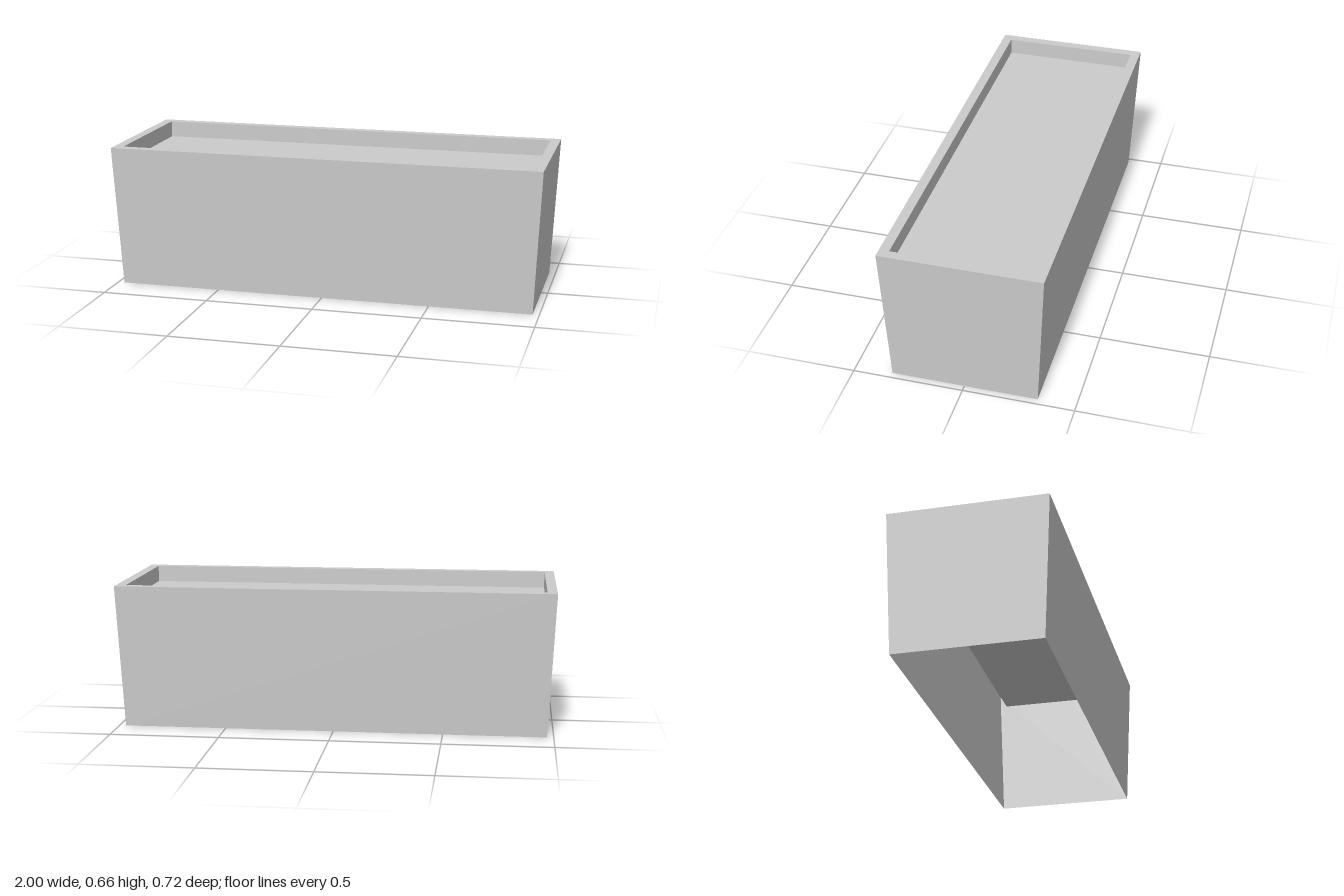
import * as THREE from 'three';

const material = new THREE.MeshStandardMaterial({
  color: 0xcccccc, flatShading: true, side: THREE.DoubleSide,
});

// Rectangular cross-sections, given as half width, height and half depth
const foot = [0.97, 0, 0.33];
const outerTop = [1, 0.658, 0.36];
const innerTop = [0.955, 0.658, 0.315];
const soilLevel = [0.955, 0.582, 0.315];

// Four-sided band joining two rectangular cross-sections
function band(name, from, to) {
  const corners = [[1, 1], [1, -1], [-1, -1], [-1, 1]];
  const at = ([x, y, z], i) => {
    const [sx, sz] = corners[i % 4];
    return [sx * x, y, sz * z];
  };
  const points = [];
  for (let i = 0; i < 4; i++) {
    const a = at(from, i), b = at(from, i + 1), c = at(to, i + 1), d = at(to, i);
    points.push(...a, ...b, ...c, ...a, ...c, ...d);
  }
  const geometry = new THREE.BufferGeometry();
  geometry.setAttribute('position', new THREE.Float32BufferAttribute(points, 3));
  geometry.computeVertexNormals();
  const mesh = new THREE.Mesh(geometry, material);
  mesh.name = name;
  return mesh;
}

export function createModel() {
  const planter = new THREE.Group();
  planter.name = 'planterBox';

  // Tapered shell, open underneath, with a flat rim and an upright inner lip
  planter.add(
    band('outerWalls', foot, outerTop),
    band('rim', outerTop, innerTop),
    band('innerWalls', innerTop, soilLevel),
  );

  // Recessed soil surface
  const [x, y, z] = soilLevel;
  const soil = new THREE.Mesh(new THREE.PlaneGeometry(2 * x, 2 * z).rotateX(-Math.PI / 2), material);
  soil.name = 'soil';
  soil.position.y = y;
  planter.add(soil);

  return planter;
}
